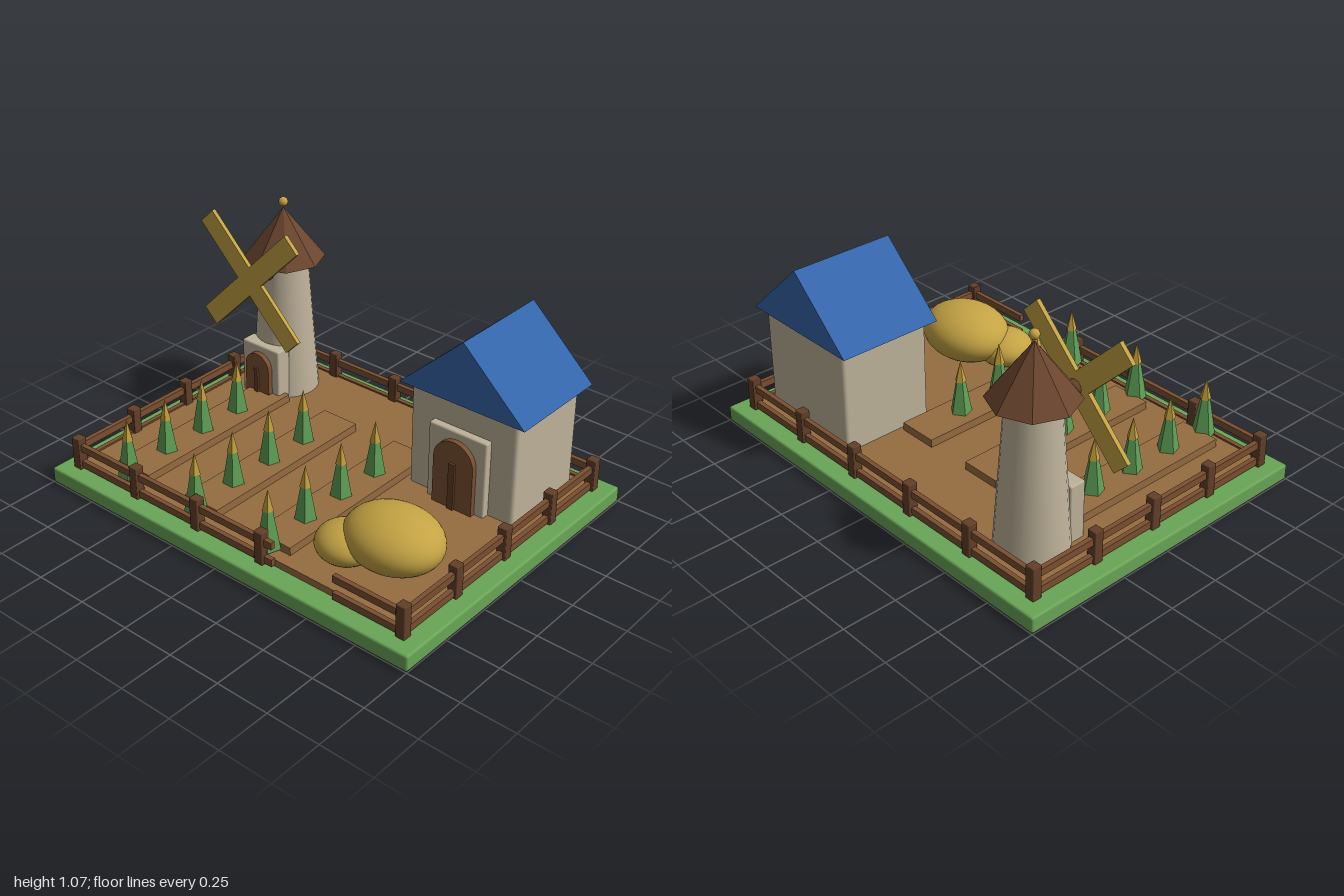
import * as THREE from 'three';
import { RoundedBoxGeometry } from 'three/addons/geometries/RoundedBoxGeometry.js';

const mat = (name, color, flat = false) => {
  const m = new THREE.MeshStandardMaterial({ color });
  m.name = name;
  m.flatShading = flat;
  return m;
};

export function createModel() {
  const grass = mat('grass green', 0x6aa657);
  const soil = mat('soil brown', 0x966c40);
  const stone = mat('pale stone', 0xbfb39b);
  const blue = mat('roof blue', 0x3465aa);
  const shingle = mat('shingle brown', 0x6b452e, true);
  const timber = mat('post timber', 0x633f29);
  const rail = mat('rail timber', 0x7a4f30);
  const straw = mat('straw gold', 0xc4a344);
  const leaf = mat('leaf green', 0x5f9f56, true);
  const tipGold = mat('crop gold', 0xc4a03c, true);

  const root = new THREE.Group();
  root.name = 'farm';
  const group = (name, x = 0, y = 0, z = 0) => {
    const g = new THREE.Group();
    g.name = name;
    g.position.set(x, y, z);
    root.add(g);
    return g;
  };
  const add = (parent, name, geo, material, x = 0, y = 0, z = 0) => {
    const m = new THREE.Mesh(geo, material);
    m.name = name;
    m.position.set(x, y, z);
    parent.add(m);
    return m;
  };
  const box = (w, h, d) => new THREE.BoxGeometry(w, h, d);

  // Ground
  const ground = group('ground');
  add(ground, 'grassBase', new RoundedBoxGeometry(2, 0.075, 1.5, 2, 0.01), grass, 0, 0.0375, 0);
  add(ground, 'soilField', box(1.8, 0.035, 1.3), soil, 0, 0.09, 0);

  // Raised beds, each with a row of crops
  for (const [bx, px] of [[-0.64, -0.64], [-0.23, -0.233], [0.18, 0.178]]) {
    const bed = group('cropBed', bx, 0, 0);
    add(bed, 'bed', box(0.19, 0.05, 0.91), soil, 0, 0.12, 0.135);
    for (let i = 0; i < 4; i++) {
      const z = -0.07 + i * 0.227;
      const stalk = add(bed, 'cropLeaves', new THREE.CylinderGeometry(0.02, 0.054, 0.19, 5), leaf, px - bx, 0.215, z);
      const tip = add(bed, 'cropTip', new THREE.ConeGeometry(0.026, 0.1, 5), tipGold, px - bx, 0.35, z);
      stalk.rotation.y = tip.rotation.y = Math.PI;
    }
  }

  // Fence with an opening at the front
  const fence = group('fence');
  const post = (x, z) => add(fence, 'post', new RoundedBoxGeometry(0.045, 0.155, 0.045, 1, 0.004), timber, x, 0.151, z);
  for (let i = 0; i < 6; i++) {
    const x = -0.91 + i * 0.364;
    post(x, -0.66);
    if (i !== 4) post(x, 0.66);
  }
  for (const x of [-0.91, 0.91]) for (const z of [-0.33, 0, 0.33]) post(x, z);
  for (const y of [0.099, 0.181]) {
    const railX = (x0, x1, z) => add(fence, 'rail', box(x1 - x0, 0.033, 0.022), rail, (x0 + x1) / 2, y, z);
    railX(-0.91, 0.91, -0.66);
    railX(-0.91, 0.245, 0.66);
    railX(0.565, 0.91, 0.66);
    for (const x of [-0.91, 0.91]) add(fence, 'rail', box(0.022, 0.033, 1.32), rail, x, y, 0);
  }

  // Arched door in a stone surround; z = 0 is the front of the surround
  const door = (parent, x, z, frameW, frameTop, r, spring) => {
    const g = new THREE.Group();
    g.name = 'door';
    g.position.set(x, 0, z);
    parent.add(g);
    add(g, 'doorSurround', new RoundedBoxGeometry(frameW, frameTop - 0.1, 0.08, 1, 0.008), stone, 0, (frameTop + 0.1) / 2, -0.04);
    const s = new THREE.Shape();
    s.moveTo(-r, 0.105);
    s.lineTo(r, 0.105);
    s.lineTo(r, spring);
    s.absarc(0, spring, r, 0, Math.PI, false);
    s.closePath();
    add(g, 'doorLeaf', new THREE.ExtrudeGeometry(s, { depth: 0.035, bevelEnabled: false, curveSegments: 8 }), rail, 0, 0, -0.01);
    add(g, 'doorBatten', box(r * 0.3, spring - 0.105, 0.012), timber, 0, (spring + 0.105) / 2, 0.03);
  };

  // House
  const house = group('house', 0.566, 0, -0.387);
  add(house, 'walls', new RoundedBoxGeometry(0.54, 0.52, 0.45, 2, 0.018), stone, 0, 0.348, 0);
  const gable = new THREE.Shape([
    new THREE.Vector2(-0.317, 0.595), new THREE.Vector2(0.317, 0.595), new THREE.Vector2(0, 0.89),
  ]);
  add(house, 'roof', new THREE.ExtrudeGeometry(gable, { depth: 0.5, bevelEnabled: false }), blue, 0, 0, -0.25);
  door(house, 0, 0.26, 0.295, 0.47, 0.102, 0.333);

  // Windmill
  const mill = group('windmill', -0.685, 0, -0.455);
  add(mill, 'tower', new THREE.CylinderGeometry(0.11, 0.158, 0.7, 24), stone, 0, 0.45, 0);
  add(mill, 'cap', new THREE.ConeGeometry(0.19, 0.245, 8), shingle, 0, 0.8975, 0);
  add(mill, 'finial', new THREE.SphereGeometry(0.022, 16, 12), straw, 0, 1.046, 0);
  const axle = add(mill, 'axle', new THREE.CylinderGeometry(0.035, 0.035, 0.16, 12), timber, 0, 0.73, 0.145);
  axle.rotation.x = Math.PI / 2;
  for (const s of [-1, 1]) {
    const sail = add(mill, 'sail', box(0.1, 0.72, 0.02), straw, 0, 0.73, 0.228);
    sail.rotation.z = s * Math.PI / 4;
  }
  door(mill, 0, 0.178, 0.225, 0.375, 0.072, 0.27);

  // Hay
  const hay = group('haystacks');
  const heap = (x, y, z, rx, ry, rz) =>
    add(hay, 'haystack', new THREE.SphereGeometry(1, 32, 20), straw, x, y, z).scale.set(rx, ry, rz);
  heap(0.61, 0.217, 0.342, 0.225, 0.13, 0.187);
  heap(0.437, 0.167, 0.432, 0.134, 0.085, 0.13);

  return root;
}
